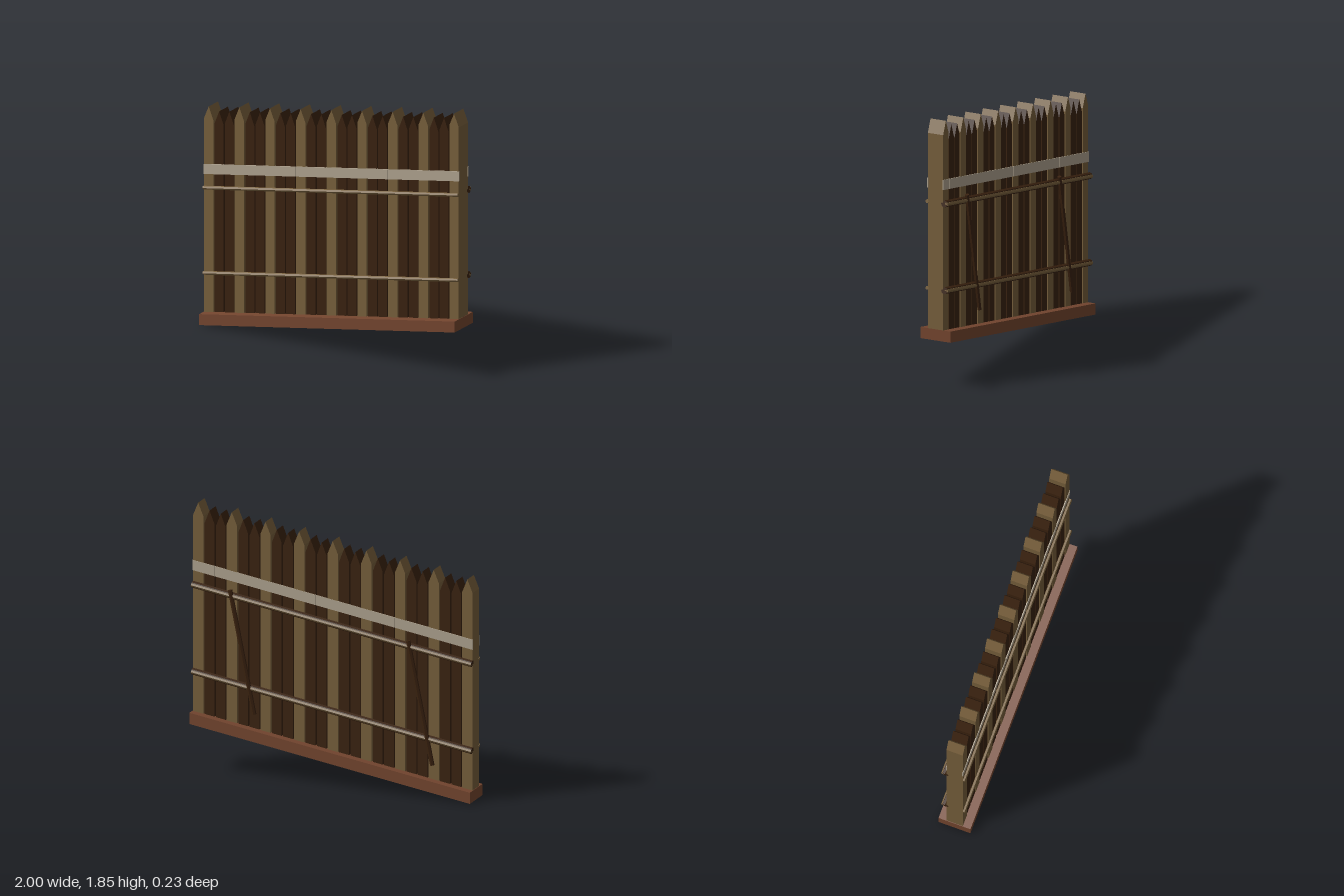
import * as THREE from 'three';

const SLOPE = 1 / 6; // rise of the ground line along x

const mat = (name, color) => {
  const m = new THREE.MeshStandardMaterial({ color });
  m.name = name;
  return m;
};

// Box whose top and bottom follow the slope; y is the height at x = 0
function slopedBox(w, h, d, x, y, z) {
  const g = new THREE.BoxGeometry(w, h, d).translate(x, y, z);
  const p = g.attributes.position;
  for (let i = 0; i < p.count; i++) p.setY(i, p.getY(i) + p.getX(i) * SLOPE);
  g.computeVertexNormals();
  return g;
}

// Faceted pole between two points
function pole(a, b, radius, sides) {
  const dir = b.clone().sub(a);
  const g = new THREE.CylinderGeometry(radius, radius, dir.length(), sides);
  g.applyQuaternion(new THREE.Quaternion().setFromUnitVectors(new THREE.Vector3(0, 1, 0), dir.normalize()));
  g.translate((a.x + b.x) / 2, (a.y + b.y) / 2, (a.z + b.z) / 2);
  const flat = g.toNonIndexed();
  flat.computeVertexNormals();
  return flat;
}

// Stake with a gabled point
function stakeGeometry(w, bottom, tip, depth) {
  const s = new THREE.Shape();
  s.moveTo(-w / 2, bottom);
  s.lineTo(w / 2, bottom);
  s.lineTo(w / 2, tip - 0.09);
  s.lineTo(0, tip);
  s.lineTo(-w / 2, tip - 0.09);
  return new THREE.ExtrudeGeometry(s, { depth, bevelEnabled: false }).translate(0, 0, -depth / 2);
}

export function createModel() {
  const model = new THREE.Group();
  model.name = 'palisade';

  const tan = mat('tan wood', 0x78603c);
  const dark = mat('dark wood', 0x3a220f);
  const brown = mat('brown footing', 0x75462f);
  const pale = mat('pale paint', 0xb0a490);

  const add = (name, geometry, material) => {
    const mesh = new THREE.Mesh(geometry, material);
    mesh.name = name;
    model.add(mesh);
    return mesh;
  };

  // Sloped footing
  add('footing', slopedBox(2, 0.077, 0.226, 0, 0.205, 0), brown);

  // Stakes: every third one is lighter, wider and taller
  for (let i = 0; i < 25; i++) {
    const x = (i - 12) * 0.08;
    const major = i % 3 === 0;
    const geometry = major
      ? stakeGeometry(0.074, 0.2, 1.69, 0.116)
      : stakeGeometry(0.07, 0.2, 1.657, 0.11);
    add(major ? 'mainStake' : 'stake', geometry, major ? tan : dark).position.set(x, x * SLOPE, 0);

    // Painted band on both faces
    for (const side of [1, -1]) {
      add('paintedBand', slopedBox(0.0795, 0.07, 0.008, x, 1.25, side * 0.0575), pale);
    }
  }

  // Rails: thin strips on both faces, a thicker log behind
  const rail = (name, y, z, radius, sides, material) => add(name, pole(
    new THREE.Vector3(-0.998, y - 0.998 * SLOPE, z),
    new THREE.Vector3(0.998, y + 0.998 * SLOPE, z), radius, sides), material);
  for (const y of [0.52, 1.12]) {
    rail('frontRail', y, 0.064, 0.013, 6, tan);
    rail('backLog', y, -0.067, 0.024, 8, dark);
    rail('backRail', y, -0.083, 0.013, 6, tan);
  }

  // Leaning braces on the back
  for (const x of [-0.635, 0.635]) {
    const y = 0.755 + x * SLOPE;
    add('backBrace', pole(
      new THREE.Vector3(x - 0.086, y - 0.42, -0.086),
      new THREE.Vector3(x + 0.086, y + 0.42, -0.086), 0.015, 6), dark);
  }

  return model;
}
